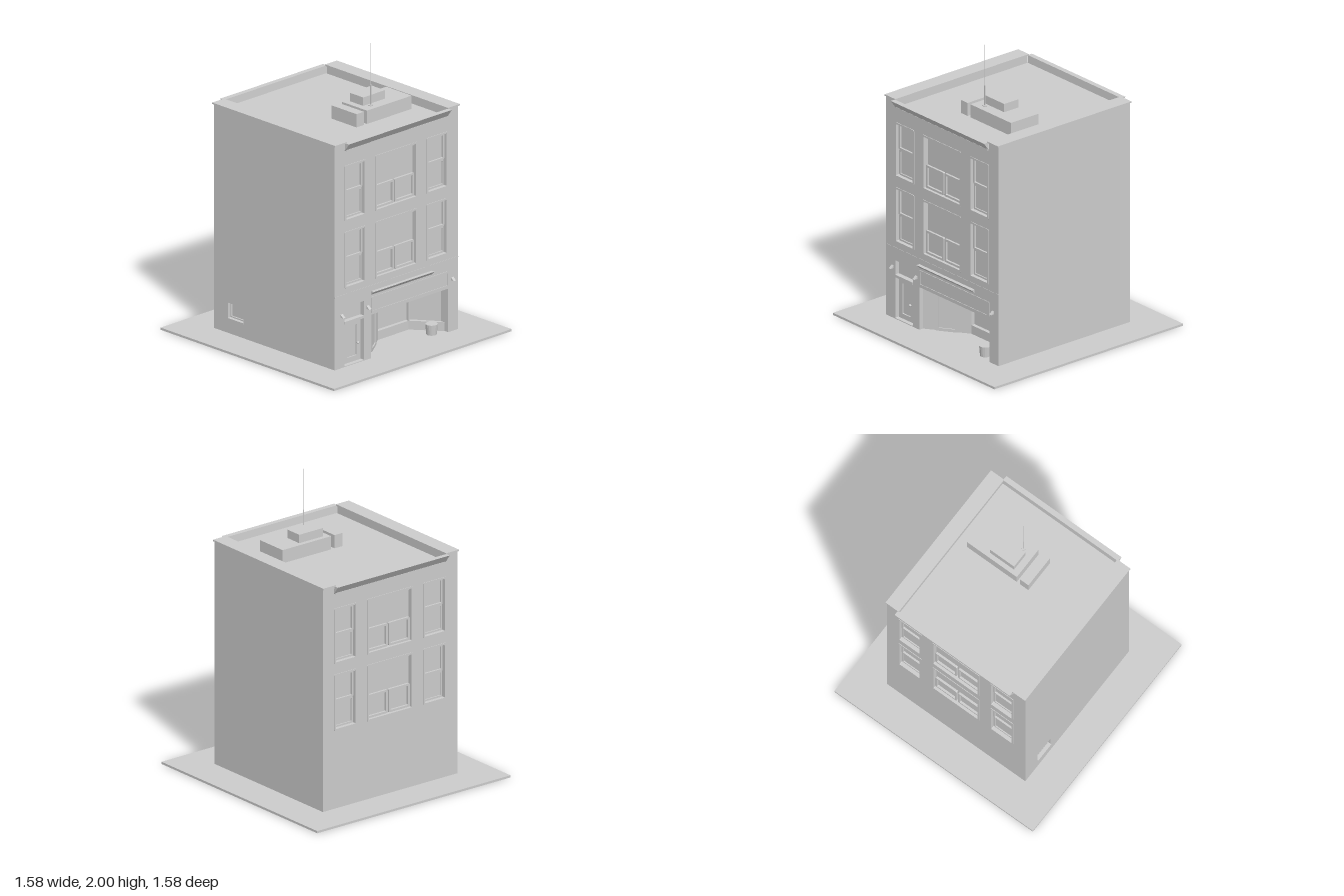
import * as THREE from 'three';

const grey = new THREE.MeshStandardMaterial({ color: 0xcccccc, flatShading: true });

function add(parent, name, geometry) {
  const mesh = new THREE.Mesh(geometry, grey);
  mesh.name = name;
  parent.add(mesh);
  return mesh;
}

// Box given by its limits on each axis
function box(parent, name, x0, x1, y0, y1, z0, z1) {
  const g = new THREE.BoxGeometry(x1 - x0, y1 - y0, z1 - z0);
  g.translate((x0 + x1) / 2, (y0 + y1) / 2, (z0 + z1) / 2);
  return add(parent, name, g);
}

const polygon = pts => new THREE.Shape(pts.map(p => new THREE.Vector2(...p)));

// Rectangle with softened corners
function roundRect(Type, x0, x1, y0, y1, r = 0.01) {
  const s = new Type();
  s.moveTo(x0 + r, y0).lineTo(x1 - r, y0).quadraticCurveTo(x1, y0, x1, y0 + r);
  s.lineTo(x1, y1 - r).quadraticCurveTo(x1, y1, x1 - r, y1);
  s.lineTo(x0 + r, y1).quadraticCurveTo(x0, y1, x0, y1 - r);
  s.lineTo(x0, y0 + r).quadraticCurveTo(x0, y0, x0 + r, y0);
  return s;
}

// Shape in the wall plane, from depth w0 to w1
function slab(parent, name, shape, w0, w1) {
  const g = new THREE.ExtrudeGeometry(shape, { depth: w1 - w0, bevelEnabled: false, curveSegments: 3 });
  return add(parent, name, g.translate(0, 0, w0));
}

// Frame around a rectangle, standing at depth w0 to w1
function frame(parent, name, u0, u1, y0, y1, t, w0, w1) {
  const s = roundRect(THREE.Shape, u0, u1, y0, y1, 0.008);
  s.holes.push(roundRect(THREE.Path, u0 + t, u1 - t, y0 + t, y1 - t, 0.004));
  return slab(parent, name, s, w0, w1);
}

// Plan outline given as [x, z], raised from y0 to y1
function plan(parent, name, pts, y0, y1) {
  const g = new THREE.ExtrudeGeometry(polygon(pts.map(([x, z]) => [x, -z])), { depth: y1 - y0, bevelEnabled: false });
  return add(parent, name, g.rotateX(-Math.PI / 2).translate(0, y0, 0));
}

// Section [outward, y] run along the wall from u0 to u1
function moulding(parent, name, section, u0, u1) {
  const g = new THREE.ExtrudeGeometry(polygon(section.map(([w, y]) => [-w, y])), { depth: u1 - u0, bevelEnabled: false });
  return add(parent, name, g.rotateY(Math.PI / 2).translate(u0, 0, 0));
}

const columns = [[-0.46, -0.275], [-0.19, 0.185], [0.27, 0.455]];
const rows = [[0.545, 0.93], [1.0, 1.38]];
const GLASS = 0.52, FACE = 0.55;

function window(wall, u0, u1, y0, y1) {
  frame(wall, 'windowTrim', u0, u1, y0, y1, 0.012, GLASS, FACE + 0.004);
  const a = u0 + 0.012, b = u1 - 0.012, lo = y0 + 0.012, hi = y1 - 0.012;
  box(wall, 'windowBlind', a, b, hi - 0.015, hi, GLASS, GLASS + 0.012);
  if (u1 - u0 > 0.3) {
    // wide window: two low casements under a large pane
    const mid = (a + b) / 2, top = lo + (hi - lo) * 0.44;
    frame(wall, 'casement', a, mid - 0.005, lo, top, 0.014, GLASS, GLASS + 0.015);
    frame(wall, 'casement', mid + 0.005, b, lo, top, 0.014, GLASS, GLASS + 0.015);
  } else {
    // narrow window: two sashes
    const mid = (lo + hi) / 2;
    frame(wall, 'lowerSash', a, b, lo, mid, 0.012, GLASS, GLASS + 0.008);
    frame(wall, 'upperSash', a, b, mid, hi, 0.012, GLASS, GLASS + 0.013);
  }
}

function facade(hasShop) {
  const wall = new THREE.Group();
  wall.name = hasShop ? 'shopFacade' : 'rearFacade';
  const shop = hasShop ? [[-0.225, 0.015], [-0.225, 0.31], [0.46, 0.31], [0.46, 0.015]] : [];
  const shape = polygon([[-0.55, 0.015], ...shop, [0.55, 0.015], [0.55, 1.48], [-0.55, 1.48]]);
  for (const [u0, u1] of columns) for (const [y0, y1] of rows) {
    shape.holes.push(roundRect(THREE.Path, u0, u1, y0, y1));
    window(wall, u0, u1, y0, y1);
  }
  moulding(wall, 'cornice', [[0.55, 1.48], [0.59, 1.535], [0.555, 1.535]], -0.46, 0.455);

  if (hasShop) {
    // house door with transom light
    shape.holes.push(roundRect(THREE.Path, -0.46, -0.29, 0.02, 0.42, 0.003));
    frame(wall, 'doorPanel', -0.445, -0.305, 0.03, 0.3, 0.03, GLASS, GLASS + 0.01);
    box(wall, 'transomBar', -0.46, -0.29, 0.305, 0.322, GLASS, FACE + 0.004);
    const knob = new THREE.SphereGeometry(0.009, 10, 8).translate(-0.33, 0.145, GLASS + 0.018);
    add(wall, 'doorKnob', knob);
    // sign board, its light hood and the wall lamps
    frame(wall, 'signBoardFrame', -0.225, 0.46, 0.325, 0.43, 0.01, FACE, FACE + 0.004);
    moulding(wall, 'signHood', [[0.55, 0.445], [0.576, 0.47], [0.55, 0.47]], -0.225, 0.315);
    box(wall, 'stringCourse', -0.55, 0.55, 0.502, 0.51, FACE, FACE + 0.002);
    for (const u of [-0.487, -0.255, 0.497])
      moulding(wall, 'wallLamp', [[0.55, 0.36], [0.574, 0.36], [0.55, 0.38]], u - 0.01, u + 0.01);
  }
  slab(wall, 'facadeWall', shape, GLASS, FACE);
  wall.rotation.y = hasShop ? Math.PI / 2 : -Math.PI / 2;
  return wall;
}

export function createModel() {
  const model = new THREE.Group();
  model.name = 'shopBuilding';
  box(model, 'pavement', -0.79, 0.79, 0, 0.015, -0.79, 0.79);

  // main block, with the shop entrance cut into the ground floor
  const corners = [[0.52, -0.55], [-0.52, -0.55], [-0.52, 0.52], [0.52, 0.52]];
  plan(model, 'shopBulkhead', [...corners, [0.52, 0.225], [0.34, -0.04], [0.34, -0.315], [0.52, -0.457]], 0.015, 0.075);
  plan(model, 'shopWalls', [...corners, [0.52, 0.225], [0.34, -0.04], [0.315, -0.04], [0.315, -0.33], [0.49, -0.457], [0.52, -0.457]], 0.075, 0.31);
  box(model, 'upperBlock', -0.52, 0.52, 0.31, 1.48, -0.55, 0.52);
  box(model, 'roof', -0.555, 0.555, 1.475, 1.485, -0.45, 0.45);
  box(model, 'shopWindowPost', 0.322, 0.34, 0.075, 0.31, -0.322, -0.312);

  // shop door on the slanted entrance wall
  const door = new THREE.Group();
  door.name = 'shopDoor';
  frame(door, 'shopDoorFrame', -0.075, 0.075, 0.015, 0.29, 0.02, 0, 0.008);
  door.position.set(0.43, 0, 0.0925);
  door.rotation.y = Math.atan2(0.265, -0.18);
  model.add(door);
  const bin = new THREE.CylinderGeometry(0.04, 0.034, 0.07, 16).translate(0.5, 0.05, -0.362);
  add(model, 'litterBin', bin);

  model.add(facade(true), facade(false));

  // plain side wall with a small window
  const side = polygon([[-0.52, 0.015], [0.52, 0.015], [0.52, 1.48], [-0.52, 1.48]]);
  side.holes.push(roundRect(THREE.Path, -0.42, -0.28, 0.115, 0.22, 0.002));
  slab(model, 'sideWall', side, 0.52, 0.55);
  box(model, 'sideWindowSill', -0.42, -0.28, 0.108, 0.118, 0.52, 0.555);
  frame(model, 'sideWindowFrame', -0.42, -0.28, 0.118, 0.22, 0.008, 0.52, 0.53);

  // parapets with coping
  for (const s of [-1, 1]) {
    const [a, b] = s < 0 ? [-0.55, -0.455] : [0.455, 0.55];
    box(model, 'parapet', -0.55, 0.55, 1.48, 1.532, a, b);
    box(model, 'coping', -0.56, 0.56, 1.532, 1.542, a - 0.005, b + 0.005);
  }

  // roof plant and aerial
  box(model, 'roofUnit', 0.07, 0.3, 1.48, 1.575, -0.38, 0.017);
  box(model, 'roofUnitTop', 0.1, 0.22, 1.575, 1.632, -0.22, -0.027);
  box(model, 'roofDuct', 0.07, 0.3, 1.48, 1.575, 0.045, 0.11);
  const aerial = new THREE.Group();
  aerial.name = 'aerial';
  for (const [name, r, y0, y1] of [['aerialFoot', 0.014, 1.575, 1.582], ['aerialMast', 0.004, 1.58, 1.72], ['aerialRod', 0.002, 1.72, 2]])
    add(aerial, name, new THREE.CylinderGeometry(r, r, y1 - y0, 8).translate(0.25, (y0 + y1) / 2, -0.065));
  model.add(aerial);
  return model;
}
